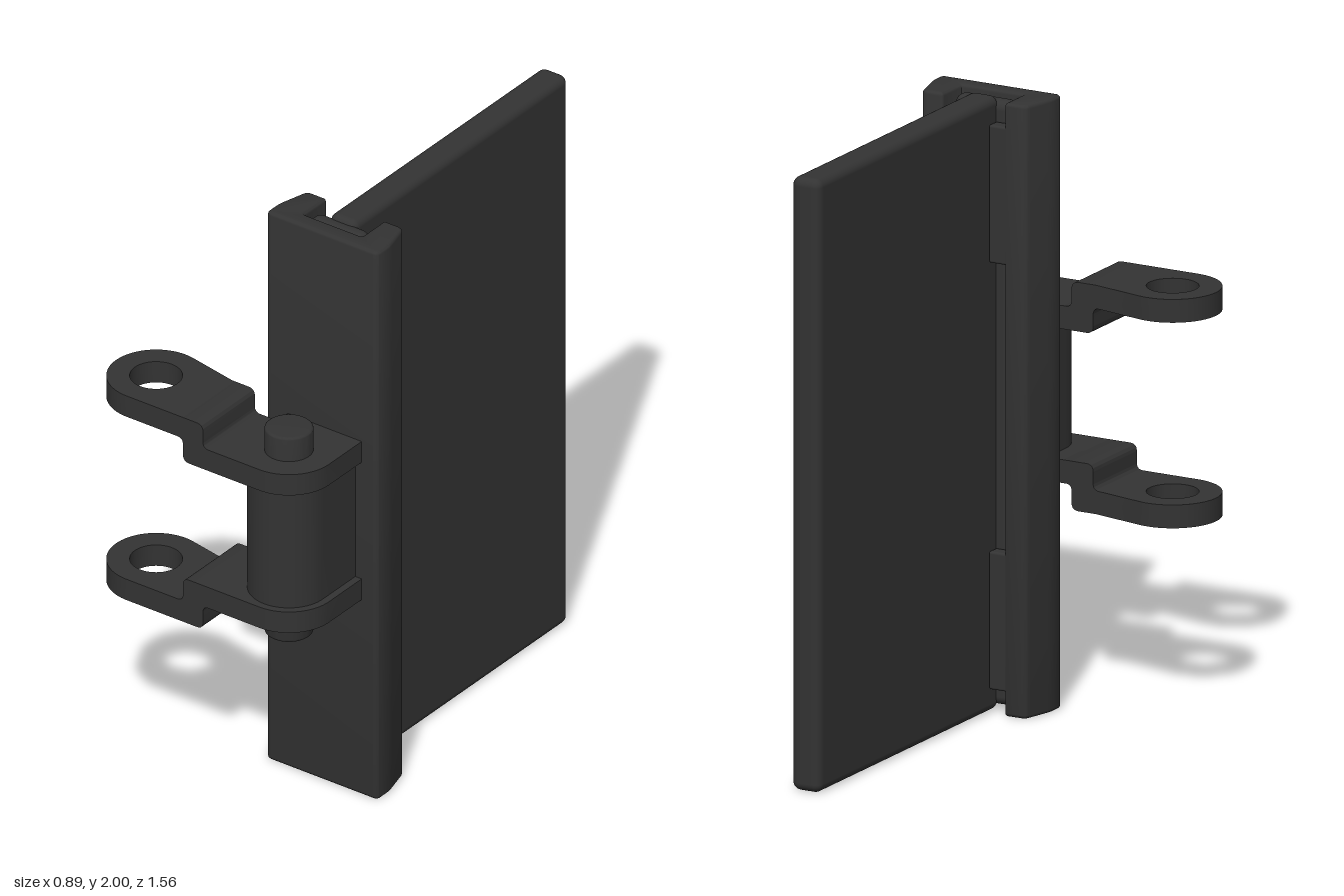
import * as THREE from 'three';
import { RoundedBoxGeometry } from 'three/addons/geometries/RoundedBoxGeometry.js';
import { toCreasedNormals } from 'three/addons/utils/BufferGeometryUtils.js';

const CX = 0.2275;            // centre line of blade and holder
const PIN_Z = 0.622;          // chain pin axis
const MID_Y = 1.003;          // mirror plane of the two side links
const material = new THREE.MeshStandardMaterial({ color: 0x333333 });

function add(parent, name, geometry, x = 0, y = 0, z = 0) {
  const mesh = new THREE.Mesh(geometry, material);
  mesh.name = name;
  mesh.position.set(x, y, z);
  parent.add(mesh);
  return mesh;
}

// Extrude with a bevel that stays inside the outline
function extrude(shape, depth, bevel = 0) {
  const geo = new THREE.ExtrudeGeometry(shape, {
    depth: depth - 2 * bevel, curveSegments: 24, bevelEnabled: bevel > 0,
    bevelSize: bevel, bevelThickness: bevel, bevelOffset: -bevel, bevelSegments: 3,
  });
  geo.translate(0, 0, bevel);
  return geo;
}

// Plan outline drawn in (x, -z), raised from y0 to y1
function prism(shape, y0, y1, bevel) {
  const geo = extrude(shape, y1 - y0, bevel);
  geo.rotateX(-Math.PI / 2);
  geo.translate(0, y0, 0);
  return toCreasedNormals(geo, 0.6);
}

const box = (w, h, d, r) => new RoundedBoxGeometry(w, h, d, 4, r);

// Polygon with every corner rounded off by its radius; points are [x, y, r]
function roundedShape(points) {
  const shape = new THREE.Shape();
  const n = points.length;
  points.forEach(([x, y, r], i) => {
    const p = new THREE.Vector2(x, y);
    const toward = ([a, b]) => new THREE.Vector2(a, b).sub(p).setLength(r).add(p);
    const start = toward(points[(i + n - 1) % n]);
    const end = toward(points[(i + 1) % n]);
    if (i === 0) shape.moveTo(start.x, start.y);
    else shape.lineTo(start.x, start.y);
    shape.quadraticCurveTo(x, y, end.x, end.y);
  });
  shape.closePath();
  return shape;
}

// Side link: pierced eye, S-bend and lug that runs into the holder
function sideLink() {
  const link = new THREE.Group();

  const eye = new THREE.Shape();
  eye.moveTo(-0.07, -0.778);
  eye.lineTo(-0.07, -0.505);
  eye.lineTo(-0.08, -0.505);
  eye.lineTo(-0.259, -0.469);
  eye.absarc(-0.29, -PIN_Z, 0.156, 1.37, Math.PI * 1.5, false);
  eye.closePath();
  const hole = new THREE.Path();
  hole.absarc(-0.29, -PIN_Z, 0.083, 0, Math.PI * 2, true);
  eye.holes.push(hole);
  add(link, 'linkEye', prism(eye, 1.3, 1.376));

  const bend = roundedShape([
    [-0.1, 1.3, 0.001], [-0.07, 1.3, 0.022], [-0.07, 1.216, 0.025], [0.04, 1.216, 0.001],
    [0.04, 1.292, 0.001], [0.008, 1.292, 0.022], [0.008, 1.376, 0.025], [-0.1, 1.376, 0.001],
  ]);
  add(link, 'linkBend', toCreasedNormals(extrude(bend, 0.273), 0.6), 0, 0, 0.505);

  const lug = new THREE.Shape();
  lug.moveTo(0.03, -0.778);
  lug.lineTo(CX, -0.778);
  lug.absarc(CX, -PIN_Z, 0.156, -Math.PI / 2, 0, false);
  lug.lineTo(CX + 0.156, -0.44);
  lug.lineTo(0.096, -0.44);
  lug.lineTo(0.096, -0.485);
  lug.quadraticCurveTo(0.096, -0.505, 0.076, -0.505);
  lug.lineTo(0.03, -0.505);
  lug.closePath();
  add(link, 'linkLug', prism(lug, 1.216, 1.292));
  return link;
}

export function createModel() {
  const model = new THREE.Group();
  model.name = 'chainScraper';

  // Flat blade with a wide foot held in the channel
  const blade = new THREE.Group();
  blade.name = 'blade';
  model.add(blade);
  add(blade, 'bladePlate', box(0.104, 2, 1.13, 0.028), CX, 1, -0.217);
  add(blade, 'bladeFoot', box(0.21, 1.97, 0.066, 0.03), CX, 1, 0.355);

  // Channel-shaped holder
  const holder = new THREE.Group();
  holder.name = 'holder';
  model.add(holder);
  const half = [
    [0.2175, -0.45, 0.02], [0.2175, -0.385, 0.02], [0.188, -0.272, 0.02],
    [0.112, -0.272, 0.008], [0.112, -0.39, 0.008],
  ];
  const mirrored = half.map(([x, y, r]) => [-x, y, r]).reverse();
  const channel = roundedShape([...half, ...mirrored]);
  add(holder, 'channel', prism(channel, 0, 2, 0.012), CX);

  // Short retaining lips near both ends, on both sides of the blade
  for (const side of [-1, 1]) {
    for (const y of [0.305, 1.695]) {
      add(holder, 'retainingLip', box(0.072, 0.45, 0.047, 0.008), CX + side * 0.089, y, 0.297);
    }
  }

  // Barrel with a web back to the holder
  const barrel = new THREE.Shape();
  barrel.moveTo(CX + 0.131, -0.44);
  barrel.lineTo(CX - 0.131, -0.44);
  barrel.lineTo(CX - 0.131, -PIN_Z);
  barrel.absarc(CX, -PIN_Z, 0.131, Math.PI, Math.PI * 2, false);
  barrel.closePath();
  add(model, 'barrel', prism(barrel, 0.77, 1.235));

  // Pin with softened ends
  const pin = new THREE.Shape();
  pin.absarc(0, 0, 0.077, 0, Math.PI * 2, false);
  add(model, 'pin', prism(pin, 0.63, 1.376, 0.008), CX, 0, PIN_Z);

  // Upper link and its mirror image below
  const upper = sideLink();
  upper.name = 'upperLink';
  const lower = sideLink();
  lower.name = 'lowerLink';
  lower.scale.y = -1;
  lower.position.y = 2 * MID_Y;
  model.add(upper, lower);

  return model;
}
